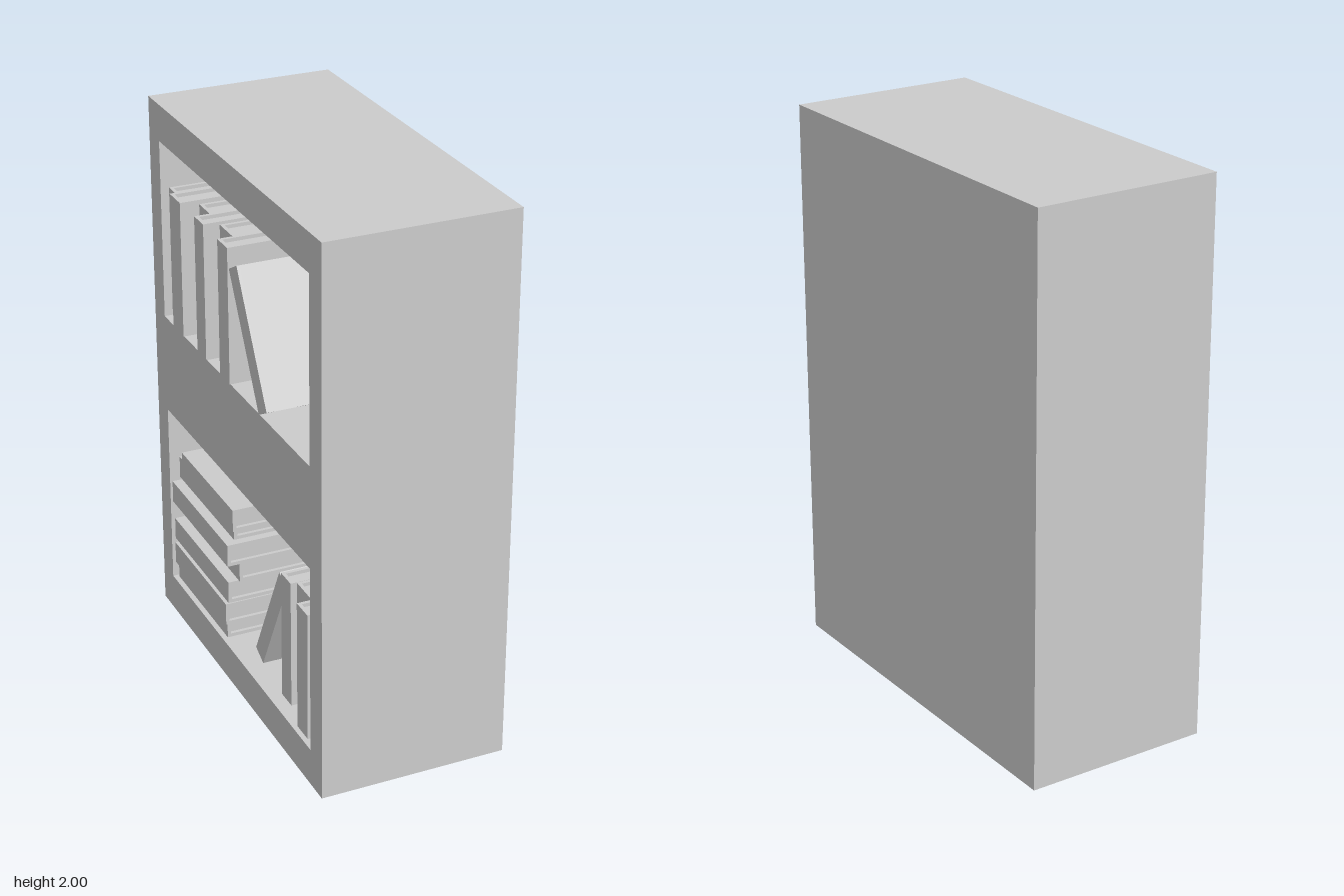
import * as THREE from 'three';

const FRONT = -0.34;            // open side of the case faces -x
const UPPER = 1.207, LOWER = 0.137; // shelf floor heights

export function createModel() {
  const model = new THREE.Group();
  model.name = 'bookcase';
  const grey = new THREE.MeshStandardMaterial({ color: 0xcccccc });
  grey.name = 'grey';

  // Box given by its minimum corner and size
  function box(parent, name, [x, y, z], [w, h, d]) {
    const mesh = new THREE.Mesh(new THREE.BoxGeometry(w, h, d), grey);
    mesh.position.set(x + w / 2, y + h / 2, z + d / 2);
    mesh.name = name;
    parent.add(mesh);
  }

  // Book standing upright, spine at local x = 0, with recessed pages
  function book(name, thick, height, depth = 0.4) {
    const group = new THREE.Group();
    group.name = name;
    const c = 0.013;
    box(group, 'spine', [0, 0, 0], [c, height, thick]);
    for (const z of [0, thick - c]) box(group, 'cover', [c, 0, z], [depth - c, height, c]);
    box(group, 'pages', [c, c, c], [depth - 2 * c, height - 2 * c, thick - 2 * c]);
    model.add(group);
    return group;
  }

  // Case: a frame with two openings, closed by a thick back
  const rect = (path, z, y0, y1) =>
    path.moveTo(-z, y0).lineTo(z, y0).lineTo(z, y1).lineTo(-z, y1).closePath();
  const outline = rect(new THREE.Shape(), 0.72, 0, 2);
  outline.holes.push(rect(new THREE.Path(), 0.628, LOWER, 0.836));
  outline.holes.push(rect(new THREE.Path(), 0.628, UPPER, 1.866));
  const frame = new THREE.Mesh(
    new THREE.ExtrudeGeometry(outline, { depth: 0.52, bevelEnabled: false }), grey);
  frame.name = 'caseFrame';
  frame.rotation.y = Math.PI / 2;
  frame.position.x = FRONT;
  model.add(frame);
  box(model, 'caseBack', [0.18, 0, -0.72], [0.16, 2, 1.44]);

  // Upright books: [shelf, z start, thickness, height, recess]
  const upright = [
    [UPPER, -0.625, 0.09, 0.485, 0.03],
    [UPPER, -0.533, 0.095, 0.5, -0.003],
    [UPPER, -0.436, 0.125, 0.485, 0.067],
    [UPPER, -0.307, 0.08, 0.5, -0.003],
    [UPPER, -0.225, 0.12, 0.49, 0.056],
    [UPPER, -0.103, 0.085, 0.495, -0.003],
    [LOWER, 0.278, 0.08, 0.485, 0.05],
    [LOWER, 0.36, 0.118, 0.485, 0.072],
    [LOWER, 0.481, 0.085, 0.485, 0.018],
  ];
  for (const [y, z, t, h, recess] of upright)
    book('uprightBook', t, h).position.set(FRONT + recess, y, z);

  // Leaning books, one on each shelf
  const leanUpper = book('leaningBookUpper', 0.075, 0.487);
  leanUpper.position.set(FRONT - 0.003, UPPER, 0.23);
  leanUpper.rotation.x = -0.505;
  const leanLower = book('leaningBookLower', 0.07, 0.472);
  leanLower.position.set(FRONT + 0.068, LOWER + 0.032, 0.008);
  leanLower.rotation.x = 0.47;

  // Stack of lying books from the bottom up: [z start, z end, recess]
  const stack = [
    [-0.615, -0.14, 0.02],
    [-0.585, -0.095, -0.003],
    [-0.615, -0.1, 0.01],
    [-0.54, -0.09, 0.05],
    [-0.595, -0.07, -0.003],
    [-0.615, -0.1, 0.035],
    [-0.49, -0.015, -0.003],
  ];
  const step = 0.084;
  stack.forEach(([z0, z1, recess], i) => {
    const b = book('stackedBook', step, z1 - z0);
    b.rotation.x = Math.PI / 2;
    b.position.set(FRONT + recess, LOWER + step * (i + 1), z0);
  });

  return model;
}
